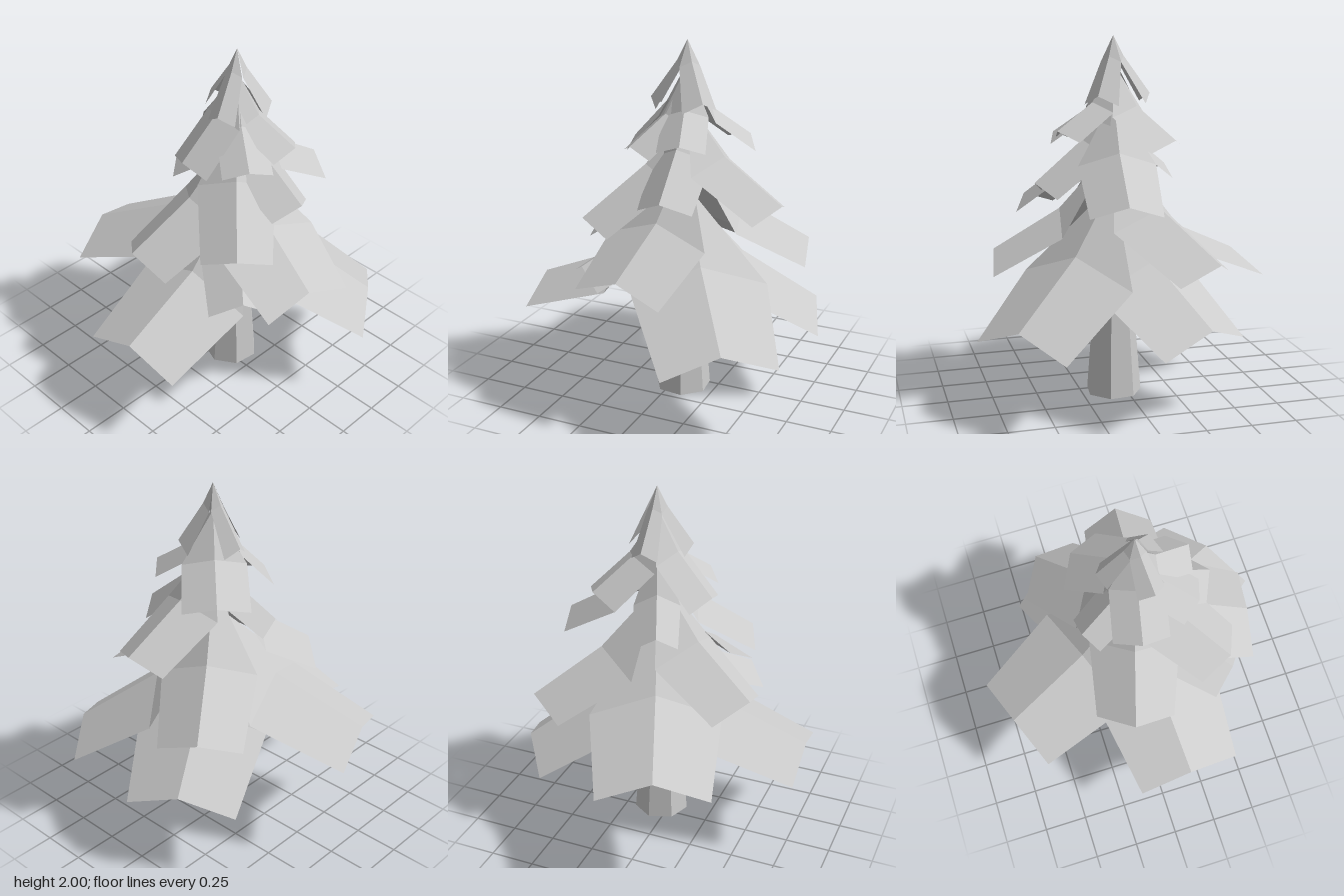
import * as THREE from 'three';

const AXIS = { x: 0.07, z: -0.08 };
const material = new THREE.MeshStandardMaterial({ color: 0xcccccc, flatShading: true, side: THREE.DoubleSide });

// A folded sheet pointing away from the trunk axis: a fan from the trunk to the bend,
// then a strip out to the tip, whose two edges droop and sweep back from the ridge.
function boughGeometry({ tip, halfWidth, back, bendY, rise, droop, reach, spread }) {
  const [x, y, z] = tip;
  const heading = Math.atan2(x - AXIS.x, z - AXIS.z);
  const sin = Math.sin(heading), cos = Math.cos(heading);
  const bend = [THREE.MathUtils.lerp(x, AXIS.x, reach), bendY, THREE.MathUtils.lerp(z, AXIS.z, reach)];
  const section = (centre, scale) => [-1, 0, 1].map((side) => {
    const across = side * halfWidth * scale, inset = Math.abs(side) * scale;
    return [
      centre[0] + across * cos - inset * back * sin,
      centre[1] - inset * droop,
      centre[2] - across * sin - inset * back * cos,
    ];
  });
  const tips = section(tip, 1), bends = section(bend, spread);
  const root = [AXIS.x, bendY + rise, AXIS.z];
  const points = [];
  for (let i = 0; i < 2; i++) {
    points.push(root, bends[i], bends[i + 1]);
    points.push(bends[i], tips[i], tips[i + 1]);
    points.push(bends[i], tips[i + 1], bends[i + 1]);
  }
  const geometry = new THREE.BufferGeometry();
  geometry.setAttribute('position', new THREE.Float32BufferAttribute(points.flat(), 3));
  geometry.computeVertexNormals();
  return geometry;
}

// One tier; each bough is [tip x, tip y, tip z, half width, sweep back, height of bend]
function makeTier(name, shape, boughs) {
  const tier = new THREE.Group();
  tier.name = `${name}Tier`;
  boughs.forEach(([x, y, z, halfWidth, back, bendY], i) => {
    const mesh = new THREE.Mesh(boughGeometry({ tip: [x, y, z], halfWidth, back, bendY, ...shape }), material);
    mesh.name = `${name}Bough${i + 1}`;
    tier.add(mesh);
  });
  return tier;
}

export function createModel() {
  const tree = new THREE.Group();
  tree.name = 'pineTree';

  // Seven-sided tapering trunk
  const trunk = new THREE.Mesh(new THREE.CylinderGeometry(0.03, 0.157, 1.6, 7, 1, false, 1), material);
  trunk.position.set(0.066, 0.8, -0.055);
  trunk.name = 'trunk';
  tree.add(trunk);

  // Tiers of drooping boughs, from the ground up
  tree.add(makeTier('bottom', { rise: 0.35, droop: 0.11, reach: 0.58, spread: 1.2 }, [
    [0.14, 0.59, 0.79, 0.295, 0.01, 0.79],
    [0.69, 0.54, -0.54, 0.31, 0.01, 0.85],
    [-0.28, 0.53, -0.73, 0.3, 0.045, 0.82],
    [-0.74, 0.72, 0.23, 0.3, 0.01, 0.95],
  ]));
  tree.add(makeTier('lower', { rise: 0.33, droop: 0.09, reach: 0.55, spread: 1.15 }, [
    [-0.11, 0.93, 0.53, 0.215, 0.09, 1.18],
    [0.53, 0.83, 0.33, 0.18, 0.02, 1.0],
    [0.72, 0.85, 0.03, 0.265, 0, 1.07],
    [-0.35, 0.85, -0.65, 0.225, 0.095, 1.1],
  ]));
  tree.add(makeTier('middle', { rise: 0.27, droop: 0.07, reach: 0.6, spread: 1.1 }, [
    [0.49, 1.09, 0.34, 0.187, 0.075, 1.35],
    [0.515, 1.23, -0.12, 0.15, 0.08, 1.45],
    [0.14, 1.18, -0.65, 0.19, 0.075, 1.4],
    [-0.26, 1.28, 0.05, 0.115, 0.03, 1.44],
  ]));
  tree.add(makeTier('upper', { rise: 0.22, droop: 0.05, reach: 0.62, spread: 0.95 }, [
    [0.01, 1.44, 0.26, 0.15, 0.05, 1.66],
    [0.36, 1.47, 0.12, 0.134, 0.04, 1.62],
    [0.4, 1.51, -0.18, 0.128, 0.06, 1.65],
    [-0.2, 1.46, -0.34, 0.18, 0.055, 1.63],
  ]));
  tree.add(makeTier('top', { rise: 0.11, droop: 0.05, reach: 0.72, spread: 0.6 }, [
    [0.12, 1.69, 0.11, 0.08, 0.04, 1.89],
    [0.19, 1.69, -0.22, 0.1, 0.04, 1.89],
    [-0.13, 1.69, -0.09, 0.075, 0.04, 1.89],
  ]));
  return tree;
}
